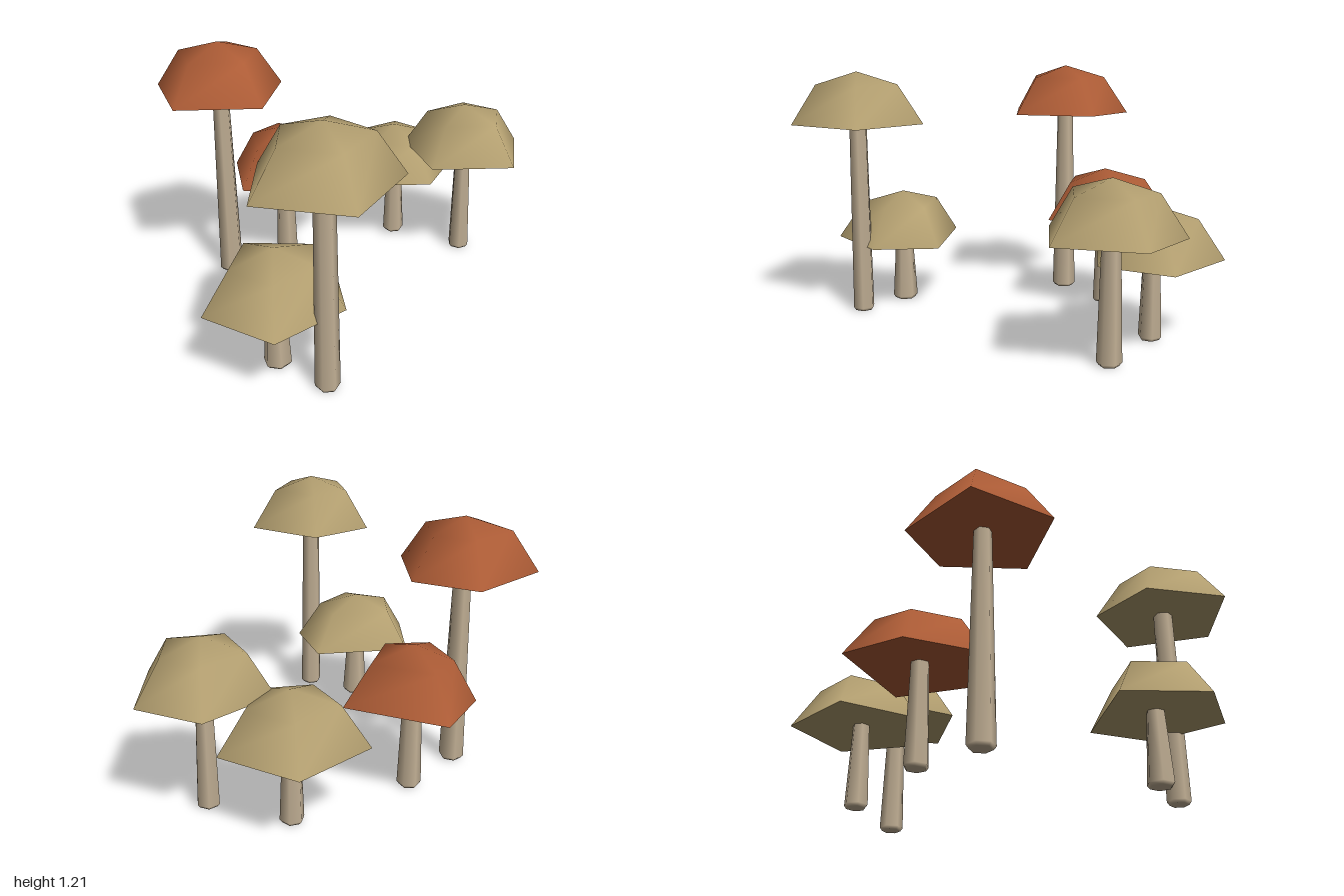
import * as THREE from 'three';

const material = (name, color) => {
  const m = new THREE.MeshStandardMaterial({ color });
  m.name = name;
  return m;
};

// Smooth surface through rings of equal length, from bottom to top
function loft(rings) {
  const n = rings[0].length, index = [];
  for (let r = 0; r < rings.length - 1; r++) {
    for (let i = 0; i < n; i++) {
      const a = r * n + i, b = r * n + (i + 1) % n;
      index.push(a, a + n, b, b, a + n, b + n);
    }
  }
  const geo = new THREE.BufferGeometry();
  geo.setAttribute('position', new THREE.Float32BufferAttribute(rings.flat(2), 3));
  geo.setIndex(index);
  geo.computeVertexNormals();
  return geo;
}

// Cap crown: rim, shoulder ring and a small crown ring closed by the apex
function crownGeometry(rim, cx, cz, rimY, topY) {
  const n = rim.length;
  const ring = (s, y) => rim.map(([x, z]) => [cx + (x - cx) * s, y, cz + (z - cz) * s]);
  const rings = [ring(1, rimY), ring(0.62, topY - 0.06)];
  const geo = new THREE.BufferGeometry();
  geo.setAttribute('position', new THREE.Float32BufferAttribute([...rings.flat(2), cx, topY, cz], 3));
  const index = [...loft(rings).index.array];
  for (let i = 0; i < n; i++) index.push(n + i, 2 * n, n + (i + 1) % n);
  geo.setIndex(index);
  geo.computeVertexNormals();
  return geo;
}

// Underside: a very shallow hollow fan
function undersideGeometry(rim, cx, cz, rimY) {
  const n = rim.length, index = [];
  const points = rim.map(([x, z]) => [x, rimY, z]).flat();
  for (let i = 0; i < n; i++) index.push(i, (i + 1) % n, n);
  const geo = new THREE.BufferGeometry();
  geo.setAttribute('position', new THREE.Float32BufferAttribute([...points, cx, rimY + 0.02, cz], 3));
  geo.setIndex(index);
  geo.computeVertexNormals();
  return geo;
}

export function createModel() {
  const group = new THREE.Group();
  const tan = material('tan cap', 0xb39f70);
  const rust = material('rust cap', 0xad5c36);
  const pale = material('pale stem', 0xc2b095);

  // Each mushroom: centre, rim and top heights, stem radii, rim corners as [x, z]
  const mushrooms = [
    { name: 'tallTanMushroom', mat: tan, x: -0.61, z: 0.55, rimY: 0.95, topY: 1.2, r: [0.055, 0.045],
      rim: [[-0.71, 0.24], [-0.38, 0.31], [-0.31, 0.69], [-0.69, 0.86], [-0.95, 0.545]] },
    { name: 'shortTanMushroom', mat: tan, x: -0.68, z: 0.28, rimY: 0.33, topY: 0.575, r: [0.063, 0.042],
      rim: [[-0.71, -0.05], [-0.345, 0.26], [-0.5, 0.54], [-0.87, 0.56], [-1, 0.215]] },
    { name: 'frontTanMushroom', mat: tan, x: 0.685, z: 0, rimY: 0.565, topY: 0.81, r: [0.056, 0.04],
      rim: [[0.52, -0.27], [0.9, -0.235], [1, 0.07], [0.71, 0.335], [0.38, 0.1]] },
    { name: 'backTanMushroom', mat: tan, x: 0.53, z: -0.365, rimY: 0.385, topY: 0.63, r: [0.056, 0.04],
      rim: [[0.345, -0.65], [0.745, -0.61], [0.83, -0.23], [0.52, -0.06], [0.225, -0.29]] },
    { name: 'shortRustMushroom', mat: rust, x: -0.055, z: -0.56, rimY: 0.455, topY: 0.7, r: [0.056, 0.042],
      rim: [[-0.2, -0.8], [0.095, -0.86], [0.25, -0.41], [-0.12, -0.25], [-0.36, -0.48]] },
    { name: 'tallRustMushroom', mat: rust, x: -0.405, z: -0.56, rimY: 0.965, topY: 1.21, r: [0.06, 0.04],
      rim: [[-0.59, -0.84], [-0.18, -0.8], [-0.095, -0.5], [-0.38, -0.23], [-0.71, -0.46]] },
  ];

  mushrooms.forEach(({ name, mat, x, z, rimY, topY, r, rim }, k) => {
    const mushroom = new THREE.Group();
    mushroom.name = name;
    const add = (part, geo, m) => {
      const mesh = new THREE.Mesh(geo, m);
      mesh.name = part;
      mushroom.add(mesh);
      return mesh;
    };
    // Rim corners run clockwise as seen from above
    add('capCrown', crownGeometry(rim, x, z, rimY, topY), mat);
    add('capUnderside', undersideGeometry(rim, x, z, rimY), mat);

    // Tapered stem with a slightly chamfered foot
    const height = rimY + 0.02;
    const profile = [[0, 0], [r[0] * 0.8, 0], [r[0], 0.015], [r[1], height]]
      .map(([px, py]) => new THREE.Vector2(px, py));
    const stem = add('stem', new THREE.LatheGeometry(profile, 6), pale);
    stem.position.set(x, 0, z);
    stem.rotation.y = k * 0.7;
    group.add(mushroom);
  });
  return group;
}
